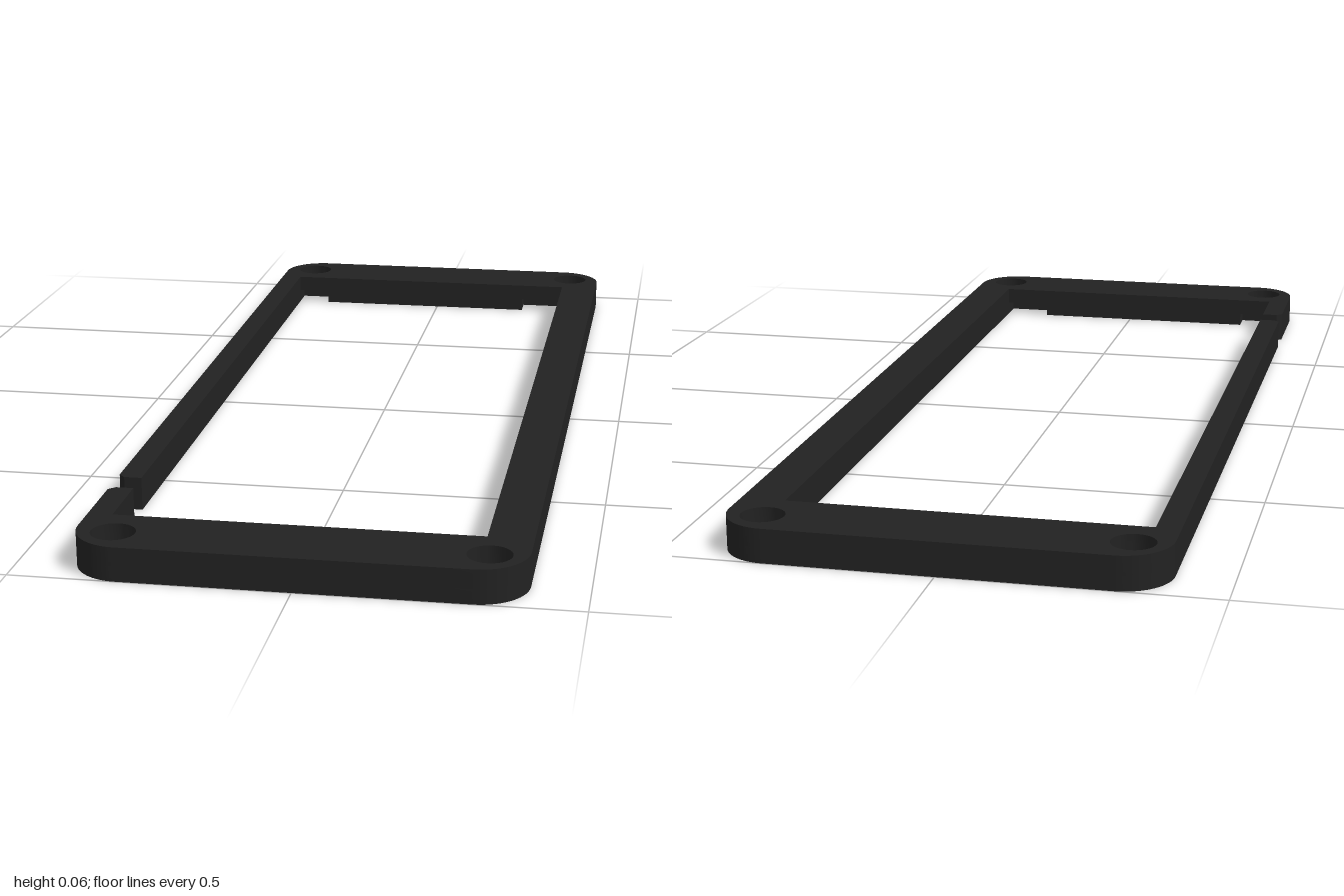
import * as THREE from 'three';
import { toCreasedNormals } from 'three/addons/utils/BufferGeometryUtils.js';

const W = 0.397, L = 1, R = 0.09, H = 0.063, STEP = 0.028;
const IN_L = -0.352, IN_R = 0.315, IN_Z = 0.85;
const GAP_A = 0.66, GAP_B = 0.715, CH = 0.012;

// C-shaped outline of the frame, drawn with shape y = -z
function frameShape(notched, holeRadius) {
  const s = new THREE.Shape();
  const to = (x, z) => s.lineTo(x, -z);
  // outer edge, starting at the short stub beside the gap
  s.moveTo(-W, -(GAP_B + CH));
  to(-W, L - R);
  s.absarc(-W + R, -L + R, R, Math.PI, Math.PI * 1.5, false);
  s.absarc(W - R, -L + R, R, -Math.PI / 2, 0, false);
  s.absarc(W - R, L - R, R, 0, Math.PI / 2, false);
  s.absarc(-W + R, L - R, R, Math.PI / 2, Math.PI, false);
  to(-W, GAP_A - CH);
  to(-W + CH, GAP_A);
  to(IN_L, GAP_A);
  // inner edge, with relief notches at the ends of each cross bar
  const depth = IN_Z + 0.05, nl = -0.28, nr = 0.215;
  if (notched) {
    [[IN_L, -depth], [nl, -depth], [nl, -IN_Z], [nr, -IN_Z], [nr, -depth], [IN_R, -depth],
      [IN_R, depth], [nr, depth], [nr, IN_Z], [nl, IN_Z], [nl, depth], [IN_L, depth]]
      .forEach(([x, z]) => to(x, z));
  } else {
    [[IN_L, -IN_Z], [IN_R, -IN_Z], [IN_R, IN_Z], [IN_L, IN_Z]].forEach(([x, z]) => to(x, z));
  }
  to(IN_L, GAP_B);
  to(-W + CH, GAP_B);
  s.closePath();
  // screw holes
  for (const x of [-0.328, 0.328]) for (const z of [-0.93, 0.93]) {
    const hole = new THREE.Path();
    hole.absarc(x, z, holeRadius, 0, Math.PI * 2, true);
    s.holes.push(hole);
  }
  return s;
}

function layer(name, shape, y0, y1, material) {
  const g = new THREE.ExtrudeGeometry(shape, { depth: y1 - y0, bevelEnabled: false, curveSegments: 14 });
  g.rotateX(-Math.PI / 2);
  g.translate(0, y0, 0);
  const mesh = new THREE.Mesh(toCreasedNormals(g, 0.6), material);
  mesh.name = name;
  return mesh;
}

export function createModel() {
  const group = new THREE.Group();
  group.name = 'bezelFrame';
  const black = new THREE.MeshStandardMaterial({ color: 0x222222 });
  black.name = 'black plastic';
  // lower layer has notches and narrow holes, upper layer has wide screw head recesses
  group.add(layer('lowerFrame', frameShape(true, 0.02), 0, STEP, black));
  group.add(layer('upperFrame', frameShape(false, 0.04), STEP, H, black));
  return group;
}
